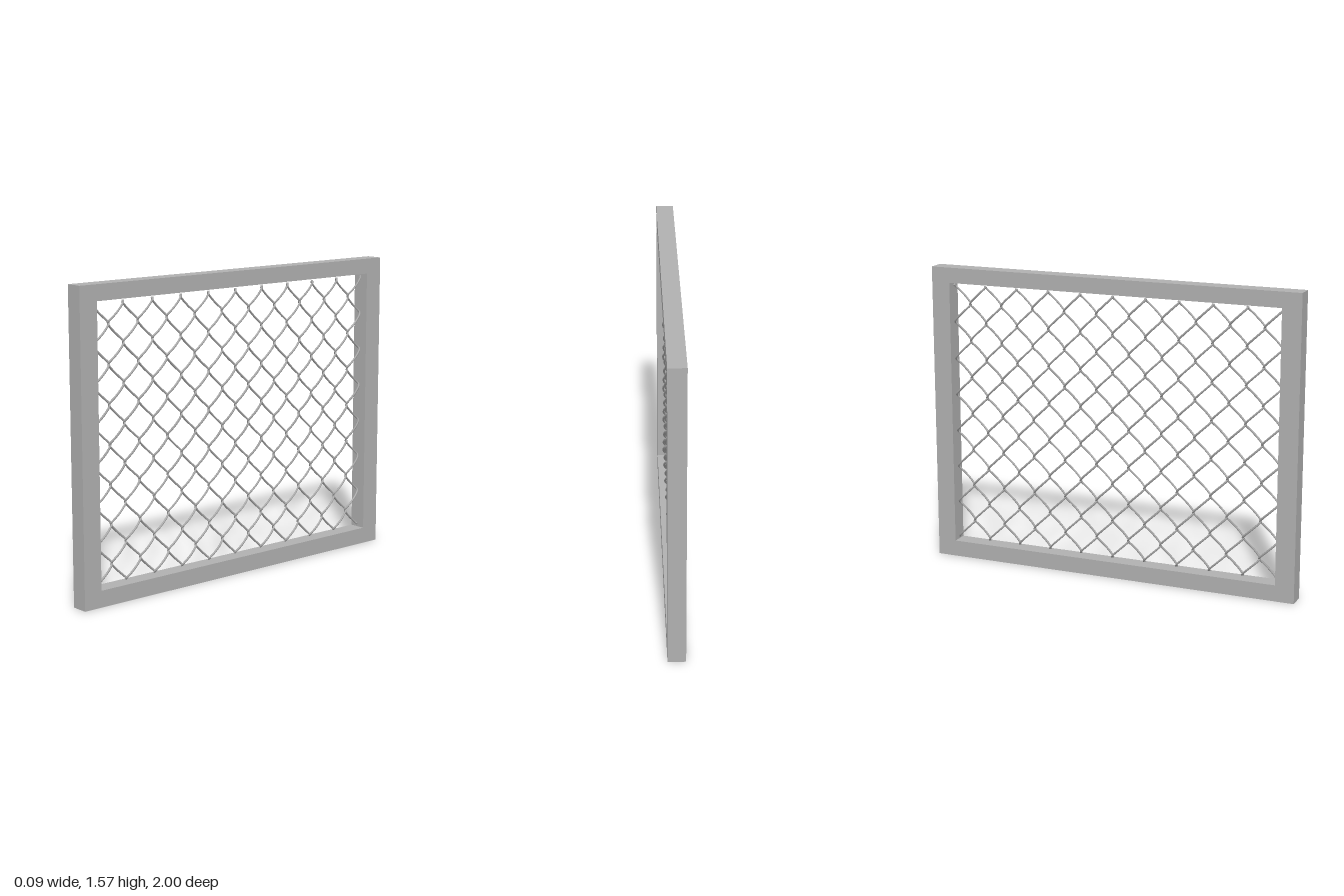
import * as THREE from 'three';

const HEIGHT = 1.57, DEPTH = 0.09;
const WIRES = 20, PITCH = 0.0892;
const WIRE_BOTTOM = 0.1, WIRE_TOP = 1.475, HALF_TURNS = 14;

// Flattened helix: a zigzag with rounded corners whose legs alternate front and back
class WirePath extends THREE.Curve {
  getPoint(t, target = new THREE.Vector3()) {
    const angle = t * HALF_TURNS * Math.PI;
    const zigzag = Math.asin(0.985 * Math.cos(angle)) / Math.asin(0.985);
    const s = Math.sin(angle);
    return target.set(
      0.014 * Math.sign(s) * Math.pow(Math.abs(s), 0.7),
      THREE.MathUtils.lerp(WIRE_BOTTOM, WIRE_TOP, t),
      (PITCH / 2 + 0.003) * zigzag
    );
  }
}

function rectangle(PathType, halfWidth, bottom, top) {
  return new PathType([
    new THREE.Vector2(-halfWidth, bottom),
    new THREE.Vector2(halfWidth, bottom),
    new THREE.Vector2(halfWidth, top),
    new THREE.Vector2(-halfWidth, top),
  ]);
}

export function createModel() {
  const model = new THREE.Group();
  model.name = 'chainLinkPanel';

  const steel = new THREE.MeshStandardMaterial({ color: 0xb0b0b0 });
  steel.name = 'grey steel';
  const wireSteel = new THREE.MeshStandardMaterial({ color: 0xa6a6a6 });
  wireSteel.name = 'wire steel';

  // Rectangular frame with one opening
  const outline = rectangle(THREE.Shape, 1, 0, HEIGHT);
  outline.holes.push(rectangle(THREE.Path, 0.9, 0.085, 1.49));
  const frameGeometry = new THREE.ExtrudeGeometry(outline, { depth: DEPTH, bevelEnabled: false });
  frameGeometry.translate(0, 0, -DEPTH / 2);
  frameGeometry.rotateY(Math.PI / 2);
  const frame = new THREE.Mesh(frameGeometry, steel);
  frame.name = 'frame';
  model.add(frame);

  // Upright wires, every second one turned round so neighbours hook together
  const mesh = new THREE.Group();
  mesh.name = 'wireMesh';
  const wireGeometry = new THREE.TubeGeometry(new WirePath(), HALF_TURNS * 10, 0.0055, 6);
  const capGeometry = new THREE.CircleGeometry(0.0055, 6);
  for (let i = 0; i < WIRES; i++) {
    const strand = new THREE.Group();
    strand.name = 'wireStrand';
    const wire = new THREE.Mesh(wireGeometry, wireSteel);
    wire.name = 'wire';
    strand.add(wire);
    // End caps
    for (const [t, turn] of [[0, Math.PI], [1, 0]]) {
      const path = wireGeometry.parameters.path;
      const cap = new THREE.Mesh(capGeometry, wireSteel);
      cap.name = 'wireEnd';
      cap.position.copy(path.getPointAt(t));
      const outward = path.getTangentAt(t).multiplyScalar(turn ? -1 : 1);
      cap.quaternion.setFromUnitVectors(new THREE.Vector3(0, 0, 1), outward);
      strand.add(cap);
    }
    strand.position.z = ((WIRES - 1) / 2 - i) * PITCH;
    strand.rotation.y = i % 2 ? Math.PI : 0;
    mesh.add(strand);
  }
  model.add(mesh);

  return model;
}
